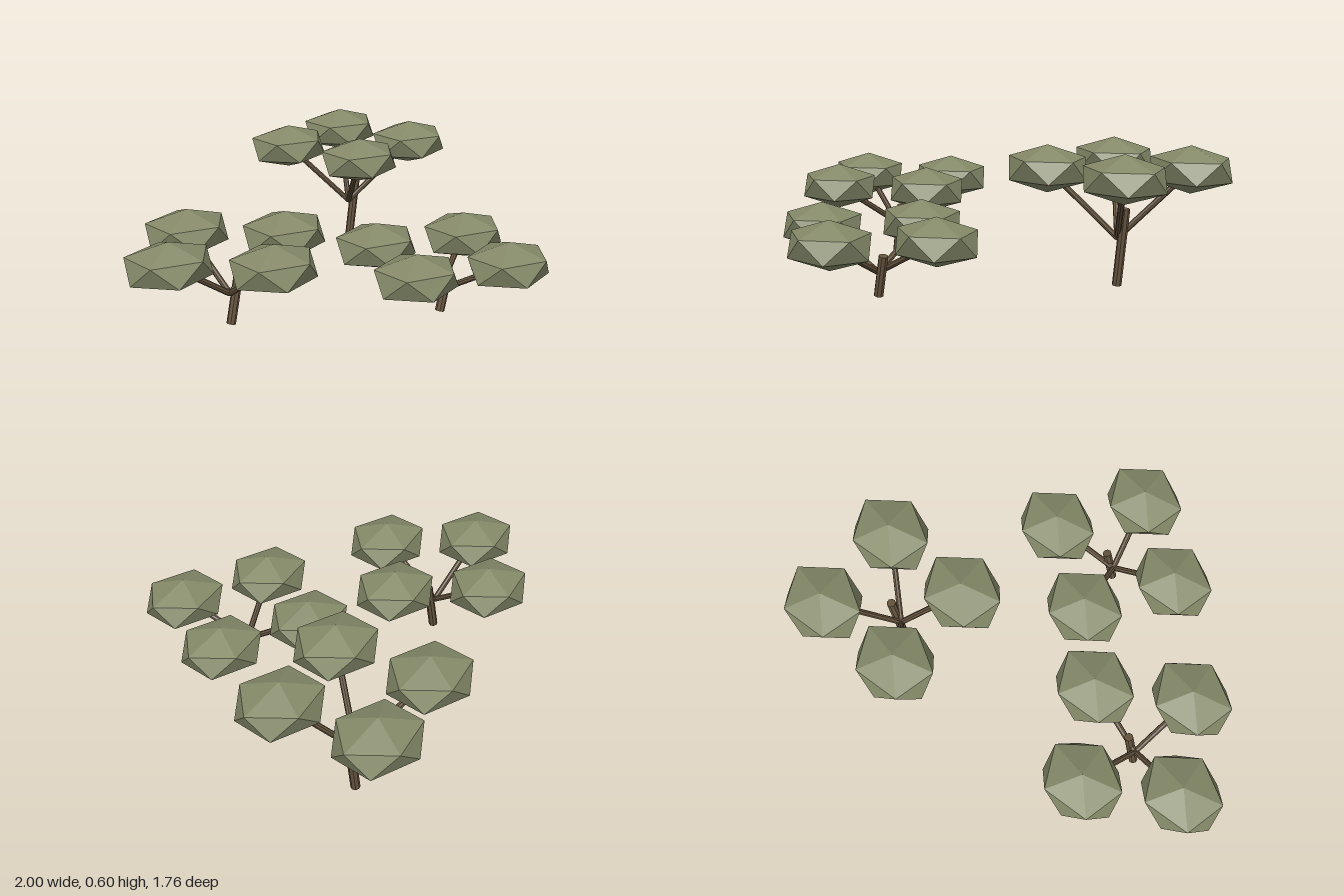
import * as THREE from 'three';

const foliage = new THREE.MeshStandardMaterial({ color: 0x858a69, flatShading: true });
foliage.name = 'olive foliage';
const bark = new THREE.MeshStandardMaterial({ color: 0x66553f, flatShading: true });
bark.name = 'brown bark';

// Flattened icosahedron with a vertex at each pole and an upper-ring corner toward +x
function canopyGeometry() {
  const g = new THREE.IcosahedronGeometry(1, 0);
  g.rotateX(-Math.atan2((1 + Math.sqrt(5)) / 2, 1));
  g.rotateY(Math.PI / 2);
  g.scale(0.205, 0.1, 0.179);
  g.computeVertexNormals();
  return g;
}

// Straight round limb between two points
function limb(name, a, b, radius) {
  const dir = b.clone().sub(a);
  const mesh = new THREE.Mesh(new THREE.CylinderGeometry(radius, radius, dir.length(), 8), bark);
  mesh.position.copy(a).add(b).multiplyScalar(0.5);
  mesh.quaternion.setFromUnitVectors(new THREE.Vector3(0, 1, 0), dir.normalize());
  mesh.name = name;
  return mesh;
}

// Leaning trunk, four spreading branches and a canopy on each branch
function tree({ x, z, height, fork, crown, turn }, canopy) {
  const group = new THREE.Group();
  group.name = 'tree';
  group.position.set(x, 0, z);
  const v = (a, b, c) => new THREE.Vector3(a, b, c);
  group.add(limb('trunk', v(0.003, 0.004, 0), v(0.05, height, 0), 0.02));
  for (let i = 0; i < 4; i++) {
    const angle = turn + i * Math.PI / 2;
    const tip = v(Math.cos(angle) * 0.294, crown, Math.sin(angle) * 0.294);
    group.add(limb('branch', v(0, fork, 0), tip, 0.013));
    const leaves = new THREE.Mesh(canopy, foliage);
    leaves.name = 'canopy';
    leaves.position.copy(tip);
    group.add(leaves);
  }
  return group;
}

export function createModel() {
  const model = new THREE.Group();
  model.name = 'tree cluster';
  const canopy = canopyGeometry();
  const trees = [
    { x: -0.519, z: -0.012, height: 0.228, fork: 0.14, crown: 0.335, turn: 0 },
    { x: 0.237, z: 0.463, height: 0.175, fork: 0.1, crown: 0.258, turn: -0.43 },
    { x: 0.569, z: -0.483, height: 0.335, fork: 0.205, crown: 0.494, turn: 0.575 },
  ];
  for (const t of trees) model.add(tree(t, canopy));
  return model;
}
